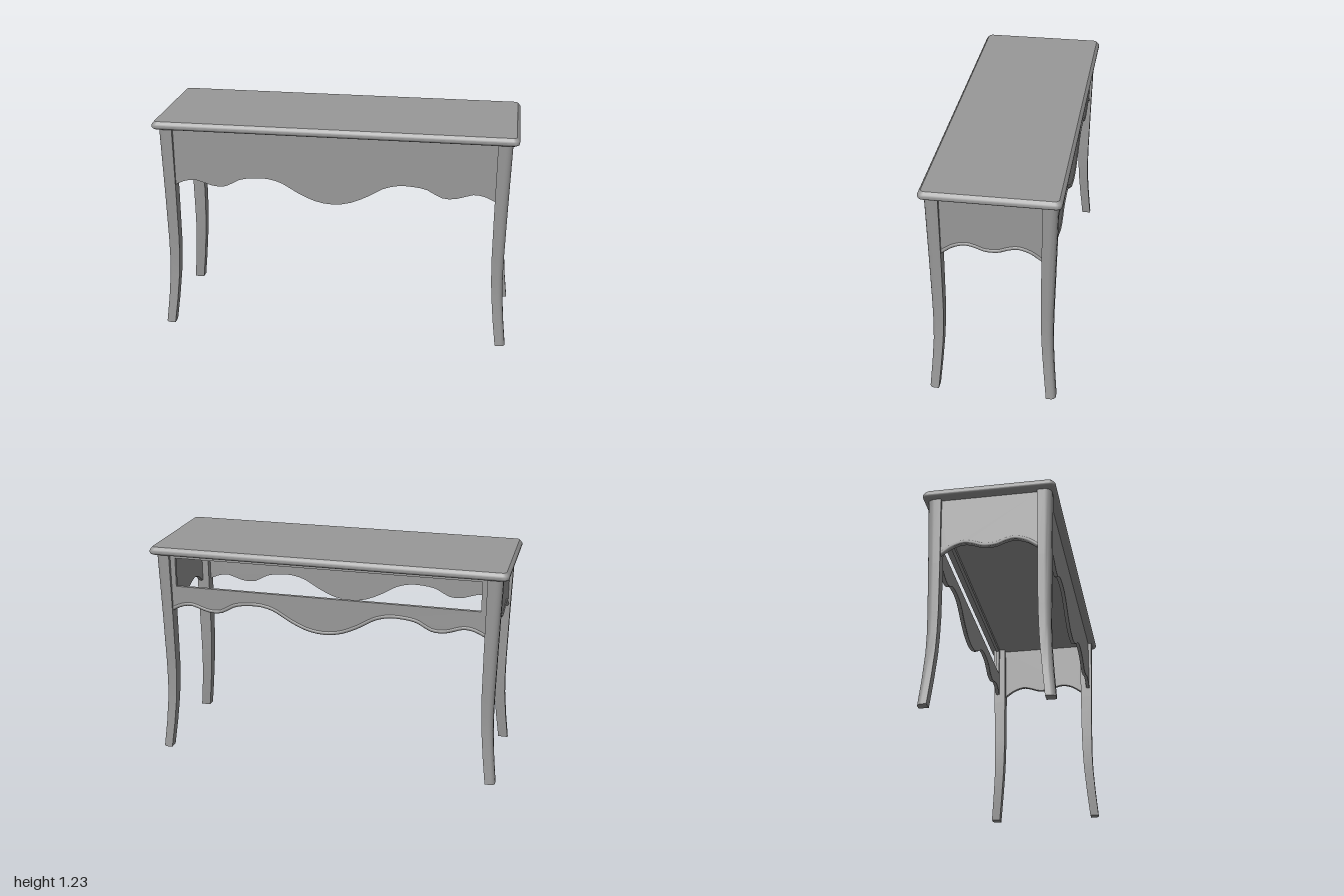
import * as THREE from 'three';
import { toCreasedNormals } from 'three/addons/utils/BufferGeometryUtils.js';

const material = new THREE.MeshStandardMaterial({ color: 0x999999 });

function addMesh(parent, name, geometry) {
  const mesh = new THREE.Mesh(geometry, material);
  mesh.name = name;
  parent.add(mesh);
}

// Horizontal rectangle; radiusAt(signX, signZ) rounds each corner, 0 keeps it sharp
function ring(y, x0, x1, z0, z1, radiusAt) {
  const points = [];
  [[1, -1], [-1, -1], [-1, 1], [1, 1]].forEach(([sx, sz], corner) => {
    const r = radiusAt(sx, sz);
    const cx = sx > 0 ? x1 - r : x0 + r;
    const cz = sz > 0 ? z1 - r : z0 + r;
    const steps = r > 0 ? 5 : 0;
    for (let i = 0; i <= steps; i++) {
      const a = (corner + i / 5) * Math.PI / 2;
      points.push([cx + r * Math.cos(a), y, cz - r * Math.sin(a)]);
    }
  });
  return points;
}

// Skin a stack of rings from bottom to top and close both ends
function loft(rings, crease) {
  const n = rings[0].length;
  const positions = rings.flat(2);
  const index = [];
  for (let k = 0; k < rings.length - 1; k++) {
    for (let i = 0; i < n; i++) {
      const j = (i + 1) % n;
      const a = k * n + i, b = k * n + j;
      index.push(a, b, b + n, a, b + n, a + n);
    }
  }
  const last = (rings.length - 1) * n;
  for (let i = 1; i < n - 1; i++) {
    index.push(0, i + 1, i);
    index.push(last, last + i, last + i + 1);
  }
  const geometry = new THREE.BufferGeometry();
  geometry.setAttribute('position', new THREE.Float32BufferAttribute(positions, 3));
  geometry.setIndex(index);
  return toCreasedNormals(geometry.toNonIndexed(), crease);
}

// Mirror half of a wavy edge and smooth it
function wave(half) {
  const left = half.map(([x, y]) => new THREE.Vector2(-x, y));
  const right = half.slice(0, -1).reverse().map(([x, y]) => new THREE.Vector2(x, y));
  return new THREE.SplineCurve([...left, ...right]).getPoints(44);
}

const APRON_TOP = 1.19;
const THICKNESS = 0.02;

// Apron board with a wavy lower edge, optional slot and optional bead
function apron(name, edge, { slot = null, bead = false } = {}) {
  const group = new THREE.Group();
  group.name = name;
  const end = edge[edge.length - 1].x;
  const shape = new THREE.Shape([
    ...edge, new THREE.Vector2(end, APRON_TOP), new THREE.Vector2(-end, APRON_TOP),
  ]);
  if (slot) {
    const [w, y0, y1] = slot;
    shape.holes.push(new THREE.Path([
      new THREE.Vector2(-w, y0), new THREE.Vector2(-w, y1),
      new THREE.Vector2(w, y1), new THREE.Vector2(w, y0),
    ]));
  }
  const board = new THREE.ExtrudeGeometry(shape, { depth: THICKNESS, bevelEnabled: false });
  board.translate(0, 0, -THICKNESS);
  addMesh(group, name + 'Board', toCreasedNormals(board, 0.5));
  if (bead) {
    const path = new THREE.CatmullRomCurve3(
      edge.map((p) => new THREE.Vector3(p.x, p.y + 0.01, -0.007)));
    addMesh(group, name + 'Bead', new THREE.TubeGeometry(path, 72, 0.012, 10));
  }
  return group;
}

export function createModel() {
  const table = new THREE.Group();
  table.name = 'consoleTable';

  // Table top with a moulded rim: [height, inset from the widest line]
  const rim = [[1.186, 0.012], [1.192, 0.003], [1.2, 0], [1.208, 0], [1.217, 0.005], [1.23, 0.016]];
  addMesh(table, 'tableTop', loft(rim.map(([y, inset]) => ring(
    y, inset - 1, 1 - inset, inset - 0.356, 0.356 - inset, () => 0.03 - inset * 0.5)), 0.72));

  // Curved legs: [height, inner x, outer x, inner z, outer z]
  const legProfile = [
    [0, 0.93, 0.985, 0.291, 0.342],
    [0.15, 0.911, 0.968, 0.276, 0.329],
    [0.3, 0.896, 0.956, 0.263, 0.319],
    [0.4, 0.89, 0.953, 0.258, 0.317],
    [0.52, 0.886, 0.953, 0.255, 0.318],
    [0.8, 0.886, 0.958, 0.255, 0.324],
    [1.19, 0.888, 0.967, 0.258, 0.333],
  ];
  for (const sx of [-1, 1]) {
    for (const sz of [-1, 1]) {
      const rings = legProfile.map(([y, xi, xo, zi, zo]) => {
        const xs = [sx * xi, sx * xo].sort((a, b) => a - b);
        const zs = [sz * zi, sz * zo].sort((a, b) => a - b);
        // Only the outward corner is rounded
        const radiusAt = (cx, cz) => (cx === sx && cz === sz ? (zo - zi) * 0.5 : 0);
        return ring(y, ...xs, ...zs, radiusAt);
      });
      const name = (sz > 0 ? 'front' : 'back') + (sx > 0 ? 'Left' : 'Right') + 'Leg';
      addMesh(table, name, loft(rings, 0.6));
    }
  }

  // Long aprons: solid in front, slotted and beaded at the back
  const longEdge = wave([
    [0.9, 0.85], [0.84, 0.88], [0.77, 0.891], [0.68, 0.863], [0.6, 0.863], [0.52, 0.905],
    [0.44, 0.919], [0.36, 0.919], [0.28, 0.897], [0.2, 0.85], [0.1, 0.805], [0, 0.79],
  ]);
  const front = apron('frontApron', longEdge);
  front.position.z = 0.312;
  const back = apron('backApron', longEdge, { slot: [0.86, 1.0, 1.165], bead: true });
  back.position.z = -0.312;
  back.rotation.y = Math.PI;
  table.add(front, back);

  // Side aprons
  const sideEdge = wave([
    [0.27, 0.845], [0.25, 0.858], [0.2, 0.892], [0.14, 0.911], [0.09, 0.904], [0.04, 0.886], [0, 0.882],
  ]);
  for (const s of [-1, 1]) {
    const side = apron(s > 0 ? 'leftApron' : 'rightApron', sideEdge, { bead: true });
    side.position.x = s * 0.945;
    side.rotation.y = s * Math.PI / 2;
    table.add(side);
  }

  return table;
}
